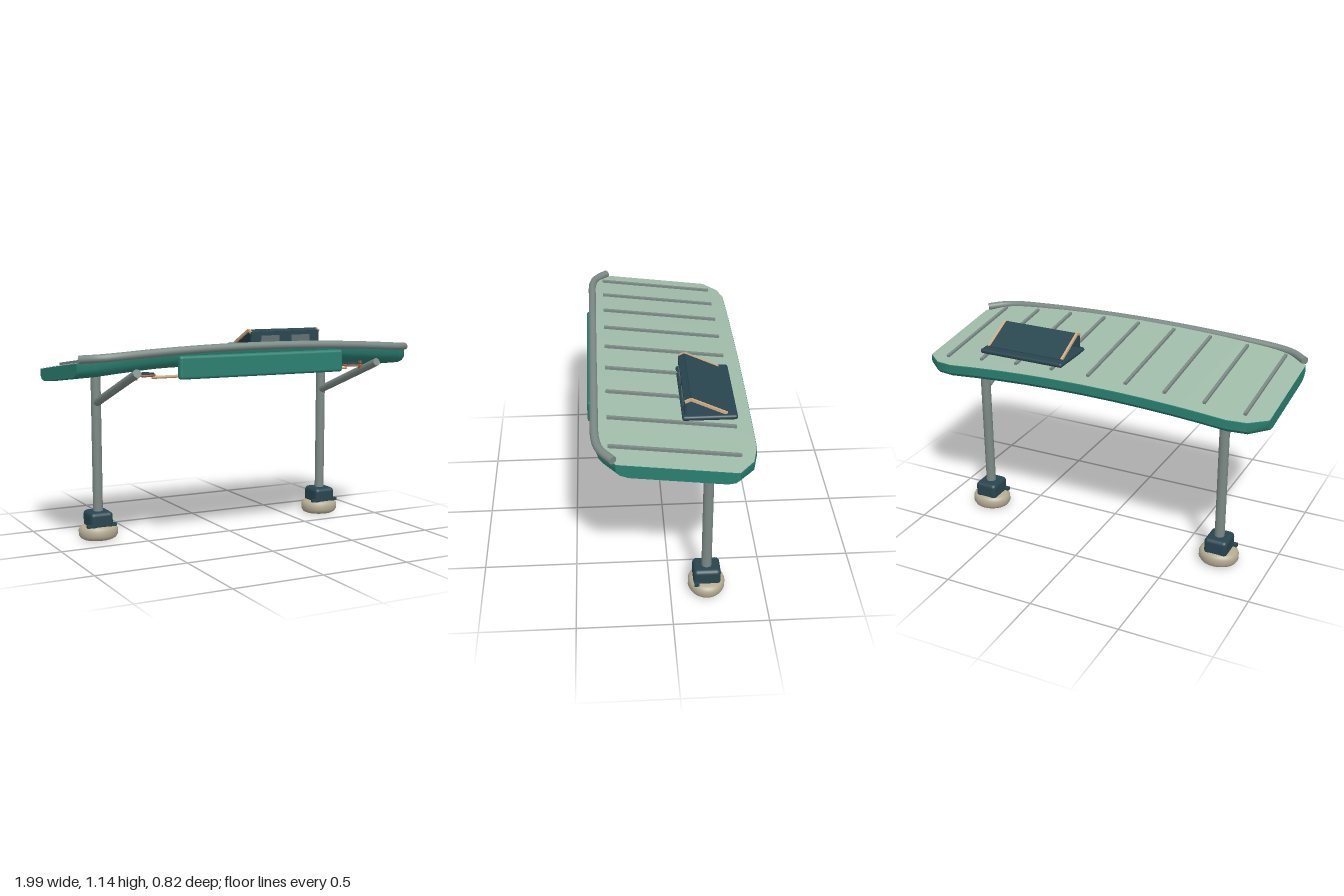
import * as THREE from 'three';
import { toCreasedNormals } from 'three/addons/utils/BufferGeometryUtils.js';
import { RoundedBoxGeometry } from 'three/addons/geometries/RoundedBoxGeometry.js';

const mat = (name, color) => Object.assign(new THREE.MeshStandardMaterial({ color }), { name });
const V = (x, y, z) => new THREE.Vector3(x, y, z);

// Height of the roof: arched across x, sloping down to the back
const SLOPE = 0.125;
const roofY = (x, z) => 1.04 + SLOPE * z - 0.058 * x * x;

// Roof outline: distance from the full edge near the chamfered corners
const cornerCut = (x) => {
  const a = Math.abs(x);
  if (a <= 0.8) return 0;
  return a <= 0.9 ? (a - 0.8) * 0.25 : 0.025 + (a - 0.9) * 0.85;
};
const stations = [-0.99, -0.9, -0.8, -0.65, -0.5, -0.35, -0.2, 0, 0.2, 0.35, 0.5, 0.65, 0.8, 0.9, 0.99];

// Skin through cross-sections listed in order of rising x
function loft(rows, closed, caps) {
  const n = rows[0].length, pos = [], idx = [];
  rows.forEach((r) => r.forEach((p) => pos.push(p.x, p.y, p.z)));
  for (let i = 0; i < rows.length - 1; i++) {
    for (let j = 0; j < (closed ? n : n - 1); j++) {
      const k = (j + 1) % n;
      const a = i * n + j, b = a + n, c = (i + 1) * n + k, d = i * n + k;
      idx.push(a, b, c, a, c, d);
    }
  }
  if (caps) {
    const e = (rows.length - 1) * n;
    for (let j = 1; j < n - 1; j++) idx.push(0, j, j + 1, e, e + j + 1, e + j);
  }
  const g = new THREE.BufferGeometry();
  g.setAttribute('position', new THREE.Float32BufferAttribute(pos, 3));
  g.setIndex(idx);
  return toCreasedNormals(g, 0.75);
}

export function createModel() {
  const model = new THREE.Group();
  model.name = 'shelter';
  const teal = mat('teal', 0x2a7f70);
  const pale = mat('pale green', 0x9fbaa8);
  const metal = mat('grey metal', 0x7b8985);
  const navy = mat('dark slate', 0x28454f);
  const stone = mat('stone', 0xb5ab92);
  const tan = mat('tan', 0xd0ab80);
  const copper = mat('copper', 0xa8623f);
  const slate = mat('slate grey', 0x5f6f74);

  const add = (name, geometry, material, x = 0, y = 0, z = 0, parent = model) => {
    const m = new THREE.Mesh(geometry, material);
    m.name = name;
    m.position.set(x, y, z);
    parent.add(m);
    return m;
  };
  const rod = (name, a, b, r, material, sides = 20) => {
    const d = b.clone().sub(a);
    const m = add(name, new THREE.CylinderGeometry(r, r, d.length(), sides), material);
    m.position.copy(a).add(b).multiplyScalar(0.5);
    m.quaternion.setFromUnitVectors(V(0, 1, 0), d.normalize());
    return m;
  };

  // Roof tray with rounded lower edges, and the pale sheet on top
  const body = stations.map((x) => {
    const f = 0.375 - cornerCut(x), b = -0.415 + cornerCut(x);
    const end = Math.abs(x) > 0.95 ? 0.85 : 1;
    return [[f, 0], [b, 0], [b, 0.045], [b + 0.02, 0.068], [b + 0.06, 0.08],
      [f - 0.06, 0.08], [f - 0.02, 0.068], [f, 0.045]]
      .map(([z, d]) => V(x, roofY(x, z) - d * end, z));
  });
  add('roofTray', loft(body, true, true), teal);
  const sheet = stations.map((x) => [0.373 - cornerCut(x), -0.413 + cornerCut(x)]
    .map((z) => V(x, roofY(x, z) + 0.003, z)));
  add('roofSheet', loft(sheet, false, false), pale);

  // Ribs on the roof
  for (let i = -4; i <= 4; i++) {
    const x = i * 0.217;
    const rib = add('roofRib', new THREE.BoxGeometry(0.016, 0.018, 0.645), metal, x, roofY(x, -0.012) + 0.007, -0.012);
    rib.rotation.x = -Math.atan(SLOPE);
  }

  // Gutter tube along the front edge, turning back at both corners
  const half = [[0.98, 0.285], [0.9, 0.345], [0.82, 0.366], [0.6, 0.37], [0.3, 0.37]];
  const path = [...half.map(([x, z]) => [-x, z]), [0, 0.37], ...half.slice().reverse()]
    .map(([x, z]) => V(x, 1.08 - 0.043 * x * x, z));
  add('gutterTube', new THREE.TubeGeometry(new THREE.CatmullRomCurve3(path), 80, 0.021, 14), metal);
  for (const s of [-1, 1]) {
    const cap = add('gutterCap', new THREE.CircleGeometry(0.021, 14), metal, s * 0.98, 1.039, 0.285);
    cap.lookAt(s * 1.06, 1.035, 0.225);
  }

  // Blank sign board
  add('signBoard', new RoundedBoxGeometry(0.975, 0.12, 0.04, 3, 0.015), teal, 0, 0.985, 0.384);

  // Posts, braces and feet
  const footProfile = [[0, 0], [0.085, 0], [0.1, 0.008], [0.11, 0.024], [0.11, 0.052], [0.102, 0.068], [0.086, 0.076], [0, 0.076]]
    .map(([r, y]) => new THREE.Vector2(r, y));
  for (const s of [-1, 1]) {
    const x = s * 0.72, z = -0.194;
    rod('post', V(x, 0.08, z), V(x, 0.95, z), 0.027, metal);
    rod('brace', V(x, 0.762, -0.175), V(x + 0.012, 0.965, 0.37), 0.022, metal);
    const foot = add('foot', toCreasedNormals(new THREE.LatheGeometry(footProfile, 32), 0.7), stone, x, 0, z);
    foot.scale.z = 0.89;
    add('collar', new RoundedBoxGeometry(0.13, 0.095, 0.145, 3, 0.022), navy, x, 0.108, z);
    for (const t of [-1, 1]) {
      add('collarLug', new THREE.BoxGeometry(0.03, 0.016, 0.025), navy, x + t * 0.07, 0.082, -0.138);
    }
  }

  // Lamps under the front edge, joined by a thin rod
  rod('underRod', V(-0.59, 0.932, 0.28), V(0.59, 0.932, 0.28), 0.008, tan, 10);
  for (const s of [-1, 1]) {
    add('lampDisc', new THREE.CylinderGeometry(0.05, 0.05, 0.012, 24), navy, s * 0.63, 0.95, 0.28);
    const ring = add('lampRing', new THREE.TorusGeometry(0.05, 0.006, 8, 28), copper, s * 0.63, 0.946, 0.28);
    ring.rotation.x = Math.PI / 2;
    add('lampHanger', new THREE.BoxGeometry(0.01, 0.065, 0.02), copper, s * 0.68, 0.955, 0.28);
  }

  // Roof unit: flat tray, upright front wall and a sloping back panel
  const unit = new THREE.Group();
  unit.name = 'roofUnit';
  unit.position.set(0.402, 0, 0);
  model.add(unit);
  add('unitTray', new RoundedBoxGeometry(0.5, 0.026, 0.275, 3, 0.012), navy, 0, 1.034, -0.2, unit);
  add('unitWall', new THREE.BoxGeometry(0.45, 0.078, 0.013), navy, 0, 1.083, -0.08, unit);
  for (const s of [-1, 1]) {
    add('wallPlate', new THREE.BoxGeometry(0.12, 0.045, 0.004), slate, s * 0.1, 1.078, -0.0725, unit);
  }
  const beam = (name, w, h, x, y0, z0, y1, z1, material) => {
    const m = add(name, new THREE.BoxGeometry(w, h, Math.hypot(y1 - y0, z1 - z0)), material, x, (y0 + y1) / 2, (z0 + z1) / 2, unit);
    m.rotation.x = Math.atan2(y1 - y0, z0 - z1);
  };
  beam('slopePanel', 0.45, 0.008, 0, 1.132, -0.105, 1.046, -0.285, navy);
  beam('ridgePanel', 0.45, 0.008, 0, 1.119, -0.078, 1.132, -0.105, navy);
  for (const s of [-1, 1]) {
    beam('slopeTrim', 0.013, 0.013, s * 0.224, 1.133, -0.105, 1.047, -0.285, tan);
    beam('ridgeTrim', 0.013, 0.013, s * 0.224, 1.119, -0.076, 1.133, -0.106, tan);
  }
  return model;
}
